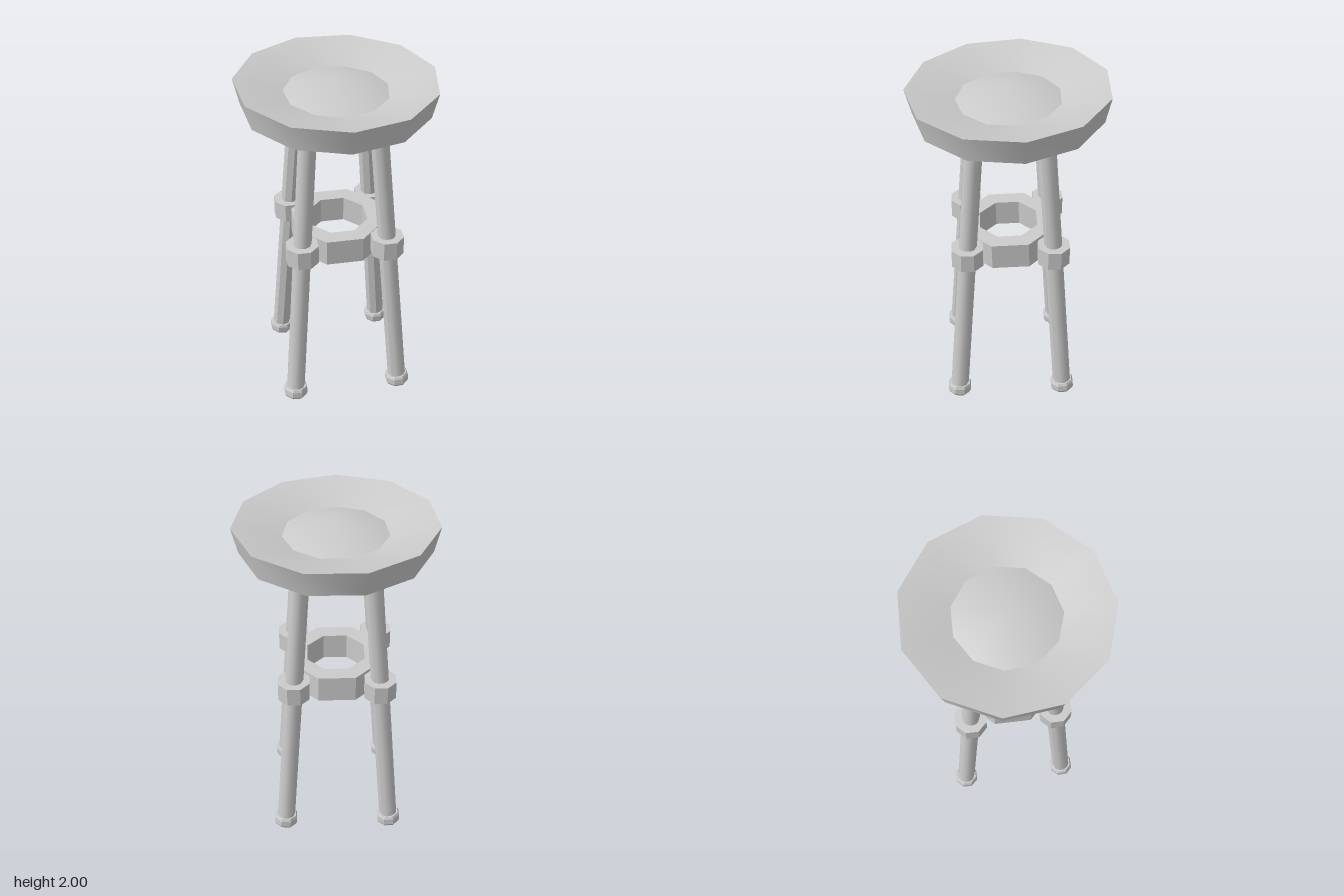
import * as THREE from 'three';
import { toCreasedNormals } from 'three/addons/utils/BufferGeometryUtils.js';

const material = new THREE.MeshStandardMaterial({ color: 0xcccccc });
const rad = THREE.MathUtils.degToRad;

function part(name, geometry, crease) {
  const mesh = new THREE.Mesh(toCreasedNormals(geometry, crease), material);
  mesh.name = name;
  return mesh;
}

// Faceted turned form from [radius, height] pairs, listed bottom to top on the outside
function turned(name, profile, sides, start, crease) {
  const points = profile.map(([r, y]) => new THREE.Vector2(r, y));
  return part(name, new THREE.LatheGeometry(points, sides, start), crease);
}

const LEG_TURN = 40.6;            // direction of the first leg, in degrees
const FOOT_OUT = 0.46, TOP_OUT = 0.27, LEG_TOP = 1.85;
const EIGHTH = Math.PI / 8;

// Leg shaft: finely rounded on the outside, broad facets on the inside
function legShaft() {
  const angles = [-180, -150, -120, -90, -60, -30, 0, 45, 90, 135];
  const outline = angles.map((a) => new THREE.Vector2(Math.cos(rad(a)), Math.sin(rad(a))).multiplyScalar(0.055));
  const geometry = new THREE.ExtrudeGeometry(new THREE.Shape(outline), { depth: LEG_TOP - 0.03, bevelEnabled: false });
  geometry.rotateX(-Math.PI / 2).translate(0, 0.03, 0);
  // Slight taper towards the seat
  const p = geometry.attributes.position;
  for (let i = 0; i < p.count; i++) {
    const k = 1 - 0.07 * (p.getY(i) / LEG_TOP);
    p.setXYZ(i, p.getX(i) * k, p.getY(i), p.getZ(i) * k);
  }
  return part('legShaft', geometry, 0.6);
}

function leg(turn) {
  const group = new THREE.Group();
  group.name = 'leg';
  group.rotation.y = turn;

  // Shaft and foot lean inwards together
  const leaning = new THREE.Group();
  leaning.name = 'leaningLeg';
  leaning.position.set(0, 0.006, FOOT_OUT);
  leaning.rotation.x = -Math.atan2(FOOT_OUT - TOP_OUT, LEG_TOP);
  leaning.add(legShaft());
  leaning.add(turned('foot', [
    [0, 0.03], [0.05, 0.03], [0.053, 0], [0.066, 0], [0.074, 0.015],
    [0.074, 0.052], [0.066, 0.068], [0.05, 0.068],
  ], 8, EIGHTH, 0.4));
  group.add(leaning);

  // Collar where the leg meets the central ring
  const collar = part('collar', new THREE.CylinderGeometry(0.098, 0.098, 0.115, 8, 1, false, EIGHTH), 0.4);
  collar.position.set(0, 1.032, FOOT_OUT - (FOOT_OUT - TOP_OUT) * 1.032 / LEG_TOP);
  group.add(collar);
  return group;
}

export function createModel() {
  const model = new THREE.Group();
  model.name = 'stool';

  // Seat: dished disc with a low raised centre, very slightly tilted
  const seat = new THREE.Group();
  seat.name = 'seat';
  seat.position.y = 1.985;
  seat.rotation.set(0.026, 0, -0.007);
  const seatStart = rad(92);
  seat.add(turned('seatBody', [
    [0, -0.15], [0.537, -0.15], [0.572, 0], [0.485, -0.018], [0.297, -0.068],
  ], 11, seatStart, 0.6));
  seat.add(turned('seatCentre', [[0.297, -0.068], [0, 0.015]], 11, seatStart, 0.6));
  model.add(seat);

  // Central octagonal ring, its faces turned towards the legs
  const ring = turned('centralRing', [
    [0.183, -0.08], [0.282, -0.08], [0.282, 0.08], [0.183, 0.08], [0.183, -0.08],
  ], 8, rad(LEG_TURN) + EIGHTH, 0.4);
  ring.position.y = 1.017;
  ring.rotation.x = 0.026;
  model.add(ring);

  for (let i = 0; i < 4; i++) model.add(leg(rad(LEG_TURN) + i * Math.PI / 2));
  return model;
}
